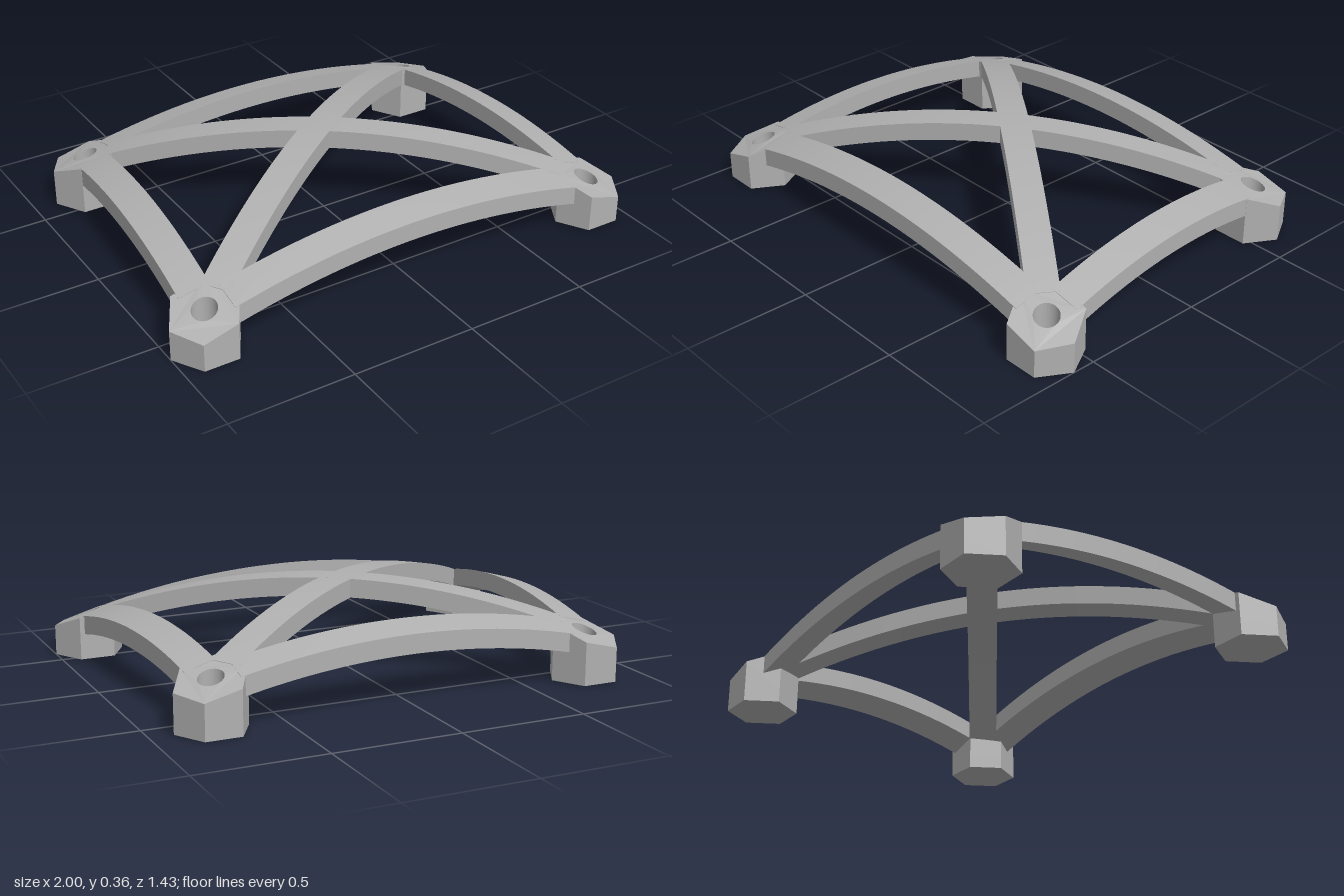
import * as THREE from 'three';

const HEX_R = 0.14;    // corner foot, centre to vertex
const HOLE_R = 0.048;  // blind hole in each foot
const FLOOR = 0.05;    // height of the hole floor
const WIDTH = 0.12;    // rib width in plan
const THICK = 0.075;   // rib thickness, measured vertically

// Domed surface that all top faces follow
const dome = (x, z) => 0.365 - 0.166 * x * x - 0.22 * z * z;

// Hexagonal prism from y0 up to either a flat height or the dome
function hexPrism(cx, cz, y0, topAt, withHole) {
  const shape = new THREE.Shape();
  for (let i = 0; i < 6; i++) {
    const a = (i * Math.PI) / 3;
    const x = HEX_R * Math.cos(a), y = HEX_R * Math.sin(a);
    if (i) shape.lineTo(x, y); else shape.moveTo(x, y);
  }
  shape.closePath();
  if (withHole) {
    shape.holes.push(new THREE.Path().absarc(0, 0, HOLE_R, 0, Math.PI * 2, true));
  }
  const geo = new THREE.ExtrudeGeometry(shape, { depth: 1, bevelEnabled: false, curveSegments: 32 });
  geo.rotateX(-Math.PI / 2);
  geo.translate(cx, 0, cz);
  const p = geo.attributes.position;
  for (let i = 0; i < p.count; i++) {
    p.setY(i, p.getY(i) > 0.5 ? topAt(p.getX(i), p.getZ(i)) : y0);
  }
  geo.computeVertexNormals();
  return geo;
}

// Curved rib between two corners, stopping short of the holes
function rib(a, b) {
  const dx = b[0] - a[0], dz = b[1] - a[1];
  const length = Math.hypot(dx, dz) - 0.18;
  const geo = new THREE.BoxGeometry(length, 1, WIDTH, 48, 1, 2);
  geo.rotateY(Math.atan2(-dz, dx));
  geo.translate((a[0] + b[0]) / 2, 0, (a[1] + b[1]) / 2);
  const p = geo.attributes.position;
  for (let i = 0; i < p.count; i++) {
    const top = dome(p.getX(i), p.getZ(i));
    p.setY(i, p.getY(i) > 0 ? top : top - THICK);
  }
  geo.computeVertexNormals();
  return geo;
}

export function createModel() {
  const model = new THREE.Group();
  model.name = 'domedFrame';
  const grey = new THREE.MeshStandardMaterial({ color: 0xb0b0b0 });
  grey.name = 'grey';

  const add = (parent, name, geo) => {
    const mesh = new THREE.Mesh(geo, grey);
    mesh.name = name;
    parent.add(mesh);
  };

  // Corner centres in plan (x, z): the back is narrower than the front
  const corners = {
    frontLeft: [0.86, 0.592],
    frontRight: [-0.86, 0.592],
    backRight: [-0.77, -0.592],
    backLeft: [0.77, -0.592],
  };

  // Feet: solid base below, pierced collar above
  for (const [name, [x, z]] of Object.entries(corners)) {
    const foot = new THREE.Group();
    foot.name = `${name}Foot`;
    add(foot, 'footBase', hexPrism(x, z, 0, () => FLOOR, false));
    add(foot, 'footCollar', hexPrism(x, z, FLOOR, dome, true));
    model.add(foot);
  }

  // Edge ribs and the two crossing diagonals
  const ribs = [
    ['frontRib', 'frontRight', 'frontLeft'],
    ['backRib', 'backRight', 'backLeft'],
    ['leftRib', 'frontLeft', 'backLeft'],
    ['rightRib', 'frontRight', 'backRight'],
    ['diagonalRibA', 'frontRight', 'backLeft'],
    ['diagonalRibB', 'backRight', 'frontLeft'],
  ];
  for (const [name, from, to] of ribs) add(model, name, rib(corners[from], corners[to]));

  return model;
}
